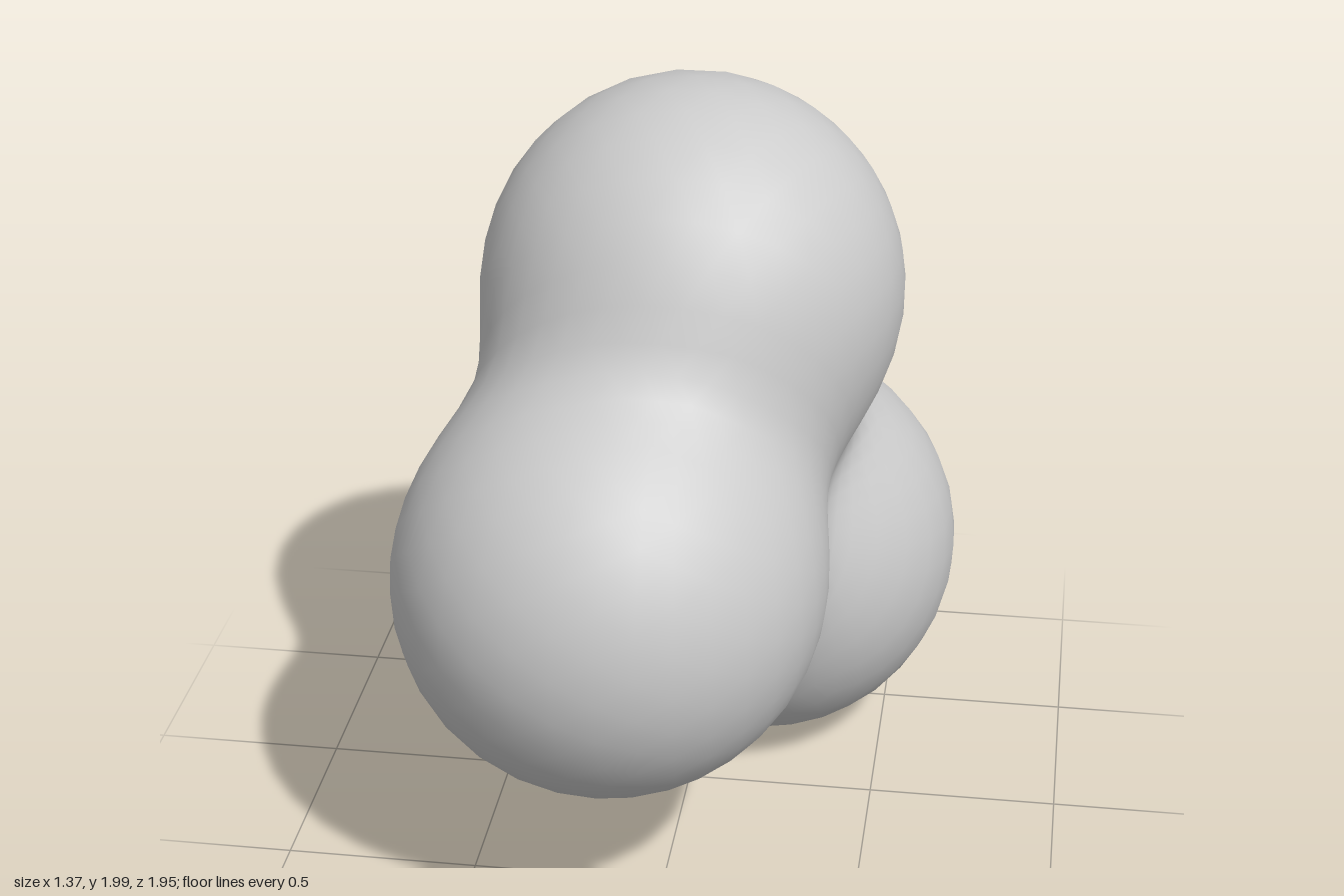
import * as THREE from 'three';
import { mergeVertices } from 'three/addons/utils/BufferGeometryUtils.js';

// The three lobes: centre and radius
const LOBES = [
  { c: new THREE.Vector3(0, 1.46, -0.075), r: 0.54 },
  { c: new THREE.Vector3(-0.145, 0.86, 0.435), r: 0.545 },
  { c: new THREE.Vector3(0.14, 0.545, -0.435), r: 0.543 },
];
const BLEND = 0.1;
const CENTRE = new THREE.Vector3(0, 0.94, -0.02);

// Smoothly blended distance to the lobes
function distance(p) {
  let sum = 0;
  for (const { c, r } of LOBES) sum += Math.exp(-(p.distanceTo(c) - r) / BLEND);
  return -BLEND * Math.log(sum);
}

// Outermost surface point along a direction from the centre
function surfacePoint(dir) {
  const at = (t) => CENTRE.clone().addScaledVector(dir, t);
  let outer = 1.5;
  while (outer > 0.02 && distance(at(outer - 0.01)) > 0) outer -= 0.01;
  let inner = outer - 0.01;
  for (let i = 0; i < 12; i++) {
    const mid = (inner + outer) / 2;
    if (distance(at(mid)) > 0) outer = mid;
    else inner = mid;
  }
  return at(outer);
}

export function createModel() {
  const group = new THREE.Group();
  group.name = 'blendedBlob';

  // Evenly divided sphere pushed out onto the blended surface
  let geometry = new THREE.IcosahedronGeometry(1, 10);
  geometry.deleteAttribute('uv');
  geometry.deleteAttribute('normal');
  geometry = mergeVertices(geometry, 1e-4);
  const pos = geometry.attributes.position;
  const dir = new THREE.Vector3();
  for (let i = 0; i < pos.count; i++) {
    dir.fromBufferAttribute(pos, i).normalize();
    const p = surfacePoint(dir);
    pos.setXYZ(i, p.x, p.y, p.z);
  }
  geometry.computeVertexNormals();

  const body = new THREE.Mesh(geometry, new THREE.MeshStandardMaterial({ color: 0xcccccc }));
  body.name = 'threeLobedBody';
  group.add(body);
  return group;
}
